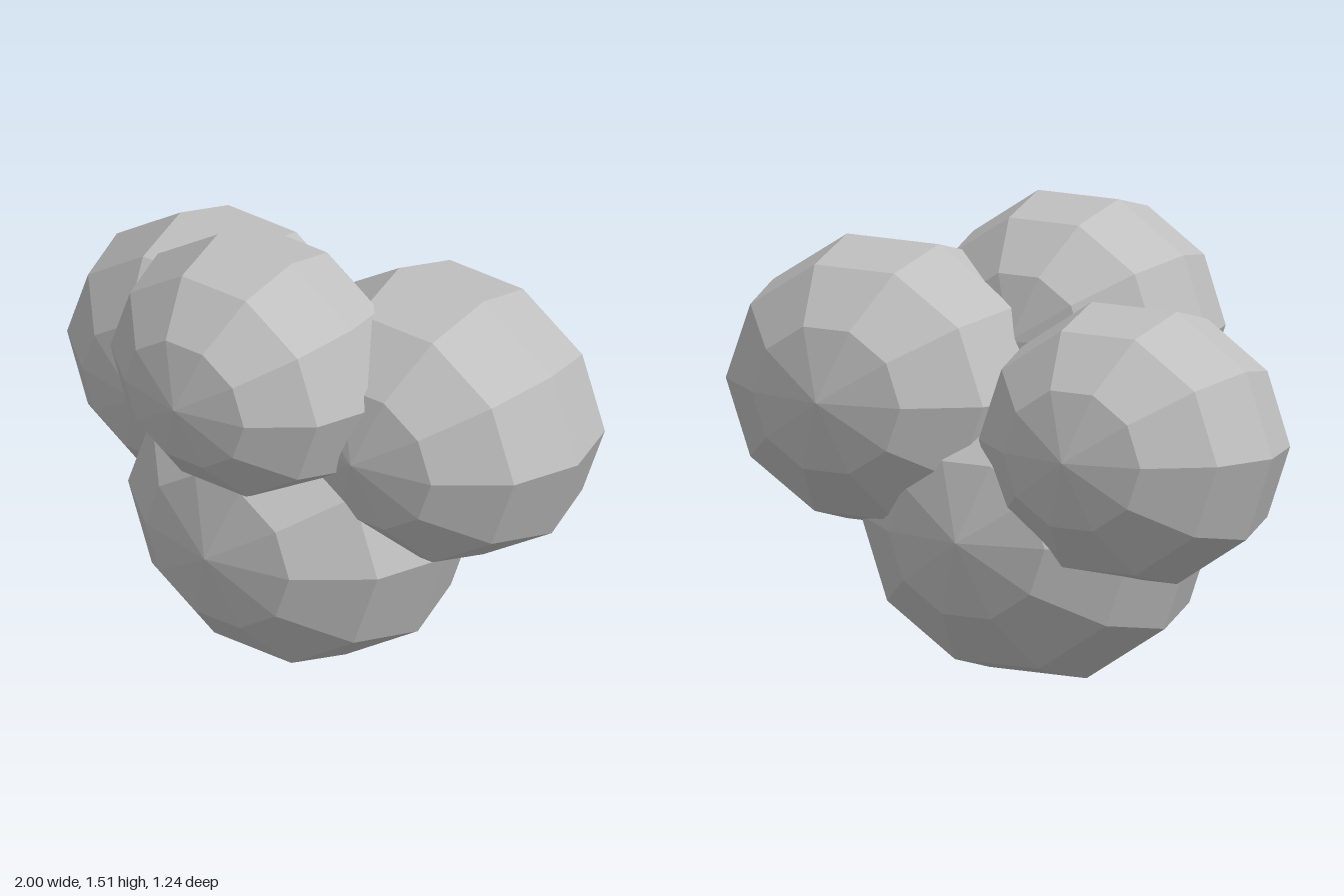
import * as THREE from 'three';

export function createModel() {
  const model = new THREE.Group();
  model.name = 'ballCluster';

  const grey = new THREE.MeshStandardMaterial({ color: 0xc0c0c0 });
  grey.name = 'light grey';

  // Faceted ellipsoid with its poles on the z axis
  function addBall(name, center, radii) {
    const sphere = new THREE.SphereGeometry(1, 10, 6);
    sphere.rotateX(Math.PI / 2);
    sphere.scale(...radii);
    const faceted = sphere.toNonIndexed();
    faceted.computeVertexNormals();
    const ball = new THREE.Mesh(faceted, grey);
    ball.name = name;
    ball.position.set(...center);
    model.add(ball);
  }

  // Four overlapping lobes
  addBall('bottomBall', [-0.015, 0.495, -0.02], [0.59, 0.52, 0.49]);
  addBall('topFrontBall', [-0.02, 1.1, 0.21], [0.49, 0.432, 0.41]);
  addBall('leftBall', [0.44, 0.92, -0.165], [0.56, 0.484, 0.457]);
  addBall('rightBall', [-0.48, 0.815, -0.18], [0.52, 0.463, 0.43]);

  return model;
}
